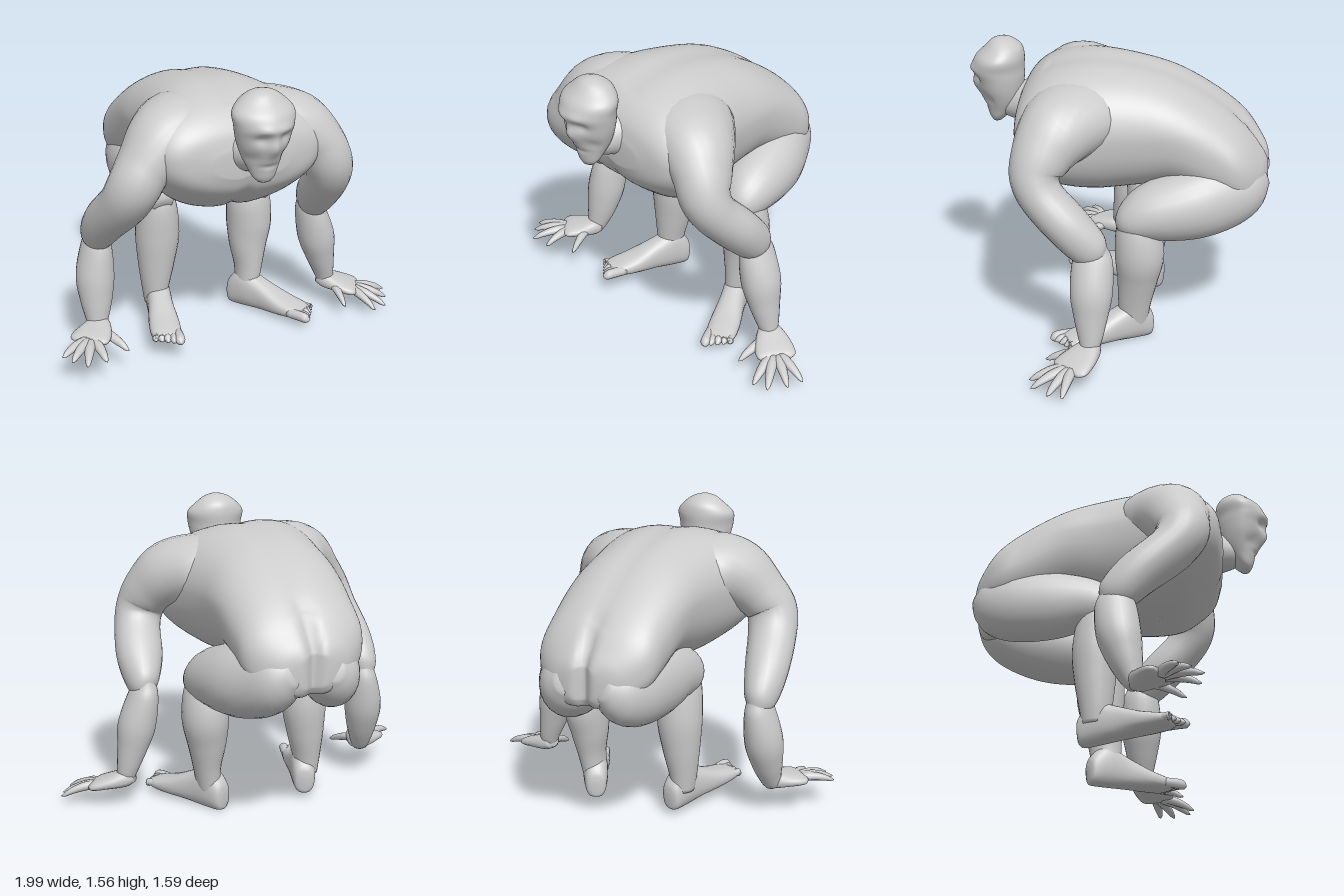
import * as THREE from 'three';

const material = new THREE.MeshStandardMaterial({ color: 0xcccccc, side: THREE.DoubleSide });
const X = new THREE.Vector3(1, 0, 0);
const Y = new THREE.Vector3(0, 1, 0);
const Z = new THREE.Vector3(0, 0, 1);
const bump = (d, w) => Math.exp(-(d * d) / (w * w));

// Smooth closed skin over stations [x, y, z, radius along ref, radius across].
function loft(name, stations, { ref = X, axis = null, power = 2, rings = 28, sides = 24, deform = null } = {}) {
  const path = new THREE.CatmullRomCurve3(stations.map(s => new THREE.Vector3(s[0], s[1], s[2])), false, 'catmullrom');
  const size = new THREE.CatmullRomCurve3(stations.map(s => new THREE.Vector3(s[3], s[4], 0)), false, 'catmullrom');
  const round = c => Math.sign(c) * Math.abs(c) ** (2 / power);
  const pos = [], index = [];
  const push = p => {
    if (deform) deform(p);
    pos.push(p.x, p.y, p.z);
  };
  for (let i = 0; i <= rings; i++) {
    const t = i / rings, c = path.getPoint(t), r = size.getPoint(t);
    const T = axis ? axis.clone() : path.getTangent(t);
    const U = ref.clone().addScaledVector(T, -ref.dot(T)).normalize();
    const V = T.clone().cross(U);
    for (let j = 0; j < sides; j++) {
      const a = j / sides * Math.PI * 2;
      push(c.clone().addScaledVector(U, Math.max(r.x, 0.002) * round(Math.cos(a)))
        .addScaledVector(V, Math.max(r.y, 0.002) * round(Math.sin(a))));
      if (i < rings) {
        const p = i * sides + j, q = i * sides + (j + 1) % sides;
        index.push(p, q, p + sides, q, q + sides, p + sides);
      }
    }
  }
  const first = pos.length / 3, end = rings * sides;
  push(path.getPoint(0));
  push(path.getPoint(1));
  for (let j = 0; j < sides; j++) {
    const k = (j + 1) % sides;
    index.push(first, k, j, first + 1, end + j, end + k);
  }
  const g = new THREE.BufferGeometry();
  g.setAttribute('position', new THREE.Float32BufferAttribute(pos, 3));
  g.setIndex(index);
  g.computeVertexNormals();
  const mesh = new THREE.Mesh(g, material);
  mesh.name = name;
  return mesh;
}

// Torso: vertical sections [z, halfWidth, top, bottom] from seat to chest.
function torso() {
  const sections = [
    [-0.787, 0.015, 0.97, 0.82], [-0.78, 0.11, 0.99, 0.80], [-0.745, 0.21, 1.05, 0.765], [-0.65, 0.31, 1.17, 0.76],
    [-0.5, 0.335, 1.29, 0.79], [-0.3, 0.35, 1.40, 0.85], [-0.1, 0.37, 1.46, 0.82], [0.12, 0.42, 1.485, 0.80],
    [0.3, 0.48, 1.46, 0.84], [0.42, 0.46, 1.41, 0.92], [0.5, 0.38, 1.33, 1.0], [0.535, 0.2, 1.23, 1.08]];
  const stations = sections.map(([z, w, top, bottom]) => [-0.06, (top + bottom) / 2, z, w, (top - bottom) / 2]);
  return loft('torso', stations, {
    axis: Z, power: 2.35, rings: 66, sides: 72,
    deform: p => {
      // flanks taper towards the belly
      const low = Math.min(1, Math.max(0, (1.2 - p.y) / 0.35)) * Math.min(1, Math.max(0, (p.z + 0.6) * 3));
      const dx = (p.x + 0.06) * (1 - 0.1 * low);
      p.x = dx - 0.06;
      // spine groove, seat cleft, breastbone crease, then a slight roll to one side
      if (p.y > 1.15 && p.z < 0.4) p.y -= 0.012 * bump(dx, 0.06);
      if (p.z < -0.55) p.z += 0.04 * bump(dx, 0.035) * Math.min(1, (-0.55 - p.z) * 6);
      if (p.z > 0.2 && p.y < 1.2) p.y += 0.02 * bump(dx, 0.04);
      p.y -= 0.06 * dx;
    },
  });
}

// Head: horizontal sections [y, halfWidth, back, front] from chin to crown.
function head() {
  const sections = [
    [1.113, 0.035, 0.635, 0.685], [1.14, 0.06, 0.605, 0.7], [1.19, 0.083, 0.56, 0.715], [1.24, 0.106, 0.53, 0.735],
    [1.3, 0.13, 0.517, 0.758], [1.36, 0.145, 0.51, 0.775], [1.41, 0.154, 0.51, 0.787], [1.47, 0.16, 0.508, 0.765],
    [1.52, 0.118, 0.52, 0.715], [1.555, 0.07, 0.56, 0.68], [1.57, 0.025, 0.6, 0.645]];
  const stations = sections.map(([y, w, back, front]) => [-0.06, y, (back + front) / 2, w, (front - back) / 2]);
  return loft('head', stations, {
    axis: Y, power: 1.85, rings: 56, sides: 56,
    deform: p => {
      if (p.z < 0.66) return;
      const dx = p.x + 0.06, ax = Math.abs(dx);
      p.z += 0.022 * bump(dx, 0.03) * bump(p.y - 1.31, 0.045);                // nose
      p.z -= 0.02 * bump(ax - 0.06, 0.035) * bump(p.y - 1.36, 0.028);         // eye hollows
      p.z += 0.01 * bump(ax - 0.05, 0.05) * bump(p.y - 1.41, 0.02);           // brow
      p.z -= 0.008 * bump(dx, 0.05) * bump(p.y - 1.205, 0.012);               // mouth
      p.z -= 0.012 * bump(ax - 0.085, 0.03) * bump(p.y - 1.25, 0.035);        // cheeks
    },
  });
}

// Hand: flat palm from the wrist, fingers fanned to the tips; the last tip is the thumb.
function hand(name, wrist, palm, tips) {
  const g = new THREE.Group();
  g.name = name;
  const w = new THREE.Vector3(...wrist), p = new THREE.Vector3(...palm);
  const across = p.clone().sub(w).cross(Y).normalize();
  const at = (t, a, b) => [...w.clone().lerp(p, t).toArray(), a, b];
  g.add(loft('palm', [at(-0.3, 0.035, 0.03), at(0, 0.065, 0.045), at(0.5, 0.095, 0.036), at(1, 0.105, 0.026), at(1.2, 0.075, 0.012)],
    { ref: across, power: 2.4, rings: 14, sides: 20 }));
  tips.forEach((tip, i) => {
    const thumb = i === tips.length - 1;
    const end = new THREE.Vector3(...tip);
    const root = w.clone().lerp(p, thumb ? 0.2 : 0.8).lerp(end, thumb ? 0.12 : 0.2);
    const s = (t, r, lift = 0) => {
      const v = root.clone().lerp(end, t);
      return [v.x, v.y + lift, v.z, r, r * 0.85];
    };
    g.add(loft(thumb ? 'thumb' : 'finger',
      [s(0, 0.028), s(0.35, 0.027, 0.01), s(0.7, 0.02, 0.008), s(0.9, 0.012), s(1, 0.002)],
      { ref: across, rings: 12, sides: 10 }));
  });
  return g;
}

// Foot: built pointing along +z, big toe on the inner side.
function foot(name, inner, position, turn, tilt) {
  const g = new THREE.Group();
  g.name = name;
  const flat = p => { p.y = Math.max(p.y, 0.008); };
  g.add(loft('sole', [[0, 0.06, -0.105, 0.025, 0.04], [0, 0.08, -0.085, 0.055, 0.08], [0, 0.11, 0, 0.068, 0.115],
    [0, 0.085, 0.11, 0.07, 0.09], [0, 0.055, 0.24, 0.082, 0.056], [0, 0.04, 0.34, 0.08, 0.036], [0, 0.036, 0.39, 0.065, 0.02]],
    { axis: Z, power: 2.4, deform: flat }));
  for (let i = 0; i < 5; i++) {
    const x = inner * (0.062 - i * 0.031), r = i ? 0.018 : 0.025, end = 0.455 - i * 0.014;
    g.add(loft('toe', [[x * 0.95, 0.04, 0.32, r, r], [x, 0.038, 0.39, r, r * 1.1], [x, 0.032, end - 0.02, r, r], [x, 0.026, end, 0.004, 0.004]],
      { axis: Z, rings: 10, sides: 12, deform: flat }));
  }
  g.position.set(...position);
  g.rotation.set(tilt, turn, 0, 'YXZ');
  return g;
}

export function createModel() {
  const model = new THREE.Group();
  model.name = 'crouchingFigure';
  model.add(torso(), head());
  model.add(loft('neck', [[-0.06, 1.21, 0.4, 0.2, 0.16], [-0.06, 1.22, 0.49, 0.13, 0.12], [-0.06, 1.225, 0.57, 0.09, 0.095],
    [-0.06, 1.25, 0.64, 0.065, 0.08]]));

  // Arms: shoulder and upper arm run in one sweep out of the back
  model.add(
    loft('leftUpperArm', [[0.08, 1.24, 0.15, 0.22, 0.17], [0.2, 1.24, 0.22, 0.24, 0.18], [0.33, 1.2, 0.29, 0.2, 0.18],
      [0.42, 1.12, 0.345, 0.16, 0.145], [0.47, 1.02, 0.375, 0.13, 0.13], [0.5, 0.92, 0.335, 0.115, 0.125],
      [0.53, 0.785, 0.205, 0.115, 0.125], [0.55, 0.67, 0.09, 0.1, 0.085], [0.55, 0.62, 0.04, 0.05, 0.045]], { ref: Z, rings: 40 }),
    loft('leftForearm', [[0.55, 0.71, 0.06, 0.04, 0.05], [0.55, 0.62, 0.075, 0.075, 0.1], [0.59, 0.45, 0.08, 0.1, 0.11],
      [0.62, 0.32, 0.08, 0.08, 0.088], [0.65, 0.2, 0.08, 0.055, 0.06], [0.66, 0.14, 0.09, 0.045, 0.04]]),
    hand('leftHand', [0.66, 0.155, 0.08], [0.79, 0.115, 0.165],
      [[0.99, 0.06, 0.18], [0.96, 0.05, 0.26], [0.9, 0.05, 0.35], [0.82, 0.05, 0.37], [0.66, 0.08, 0.31]]),
    loft('rightUpperArm', [[-0.2, 1.27, 0.15, 0.22, 0.17], [-0.32, 1.27, 0.22, 0.24, 0.19], [-0.43, 1.235, 0.27, 0.2, 0.18],
      [-0.54, 1.14, 0.305, 0.155, 0.14], [-0.6, 1.05, 0.315, 0.135, 0.135], [-0.63, 0.94, 0.25, 0.12, 0.13],
      [-0.665, 0.8, 0.1, 0.115, 0.115], [-0.68, 0.68, -0.01, 0.1, 0.085], [-0.68, 0.62, -0.06, 0.05, 0.045]], { ref: Z, rings: 40 }),
    loft('rightForearm', [[-0.68, 0.71, -0.04, 0.04, 0.05], [-0.68, 0.62, -0.02, 0.075, 0.1], [-0.7, 0.45, 0, 0.1, 0.11],
      [-0.71, 0.32, 0.03, 0.085, 0.088], [-0.72, 0.22, 0.06, 0.06, 0.06], [-0.73, 0.17, 0.08, 0.045, 0.04]]),
    hand('rightHand', [-0.72, 0.195, 0.09], [-0.82, 0.19, 0.2],
      [[-1, 0.17, 0.28], [-0.97, 0.165, 0.34], [-0.91, 0.155, 0.4], [-0.8, 0.15, 0.39], [-0.65, 0.14, 0.32]]));

  // Legs: each thigh starts as the buttock
  model.add(
    loft('leftThigh', [[0.04, 0.9, -0.765, 0.05, 0.06], [0.075, 0.87, -0.69, 0.125, 0.145], [0.125, 0.825, -0.57, 0.16, 0.19],
      [0.185, 0.785, -0.4, 0.185, 0.195], [0.24, 0.75, -0.21, 0.165, 0.16], [0.27, 0.71, -0.1, 0.125, 0.115], [0.27, 0.67, -0.03, 0.06, 0.05]]),
    loft('leftShin', [[0.27, 0.78, -0.14, 0.06, 0.05], [0.27, 0.68, -0.125, 0.115, 0.11], [0.28, 0.52, -0.135, 0.125, 0.13],
      [0.27, 0.38, -0.125, 0.105, 0.11], [0.265, 0.24, -0.11, 0.075, 0.09], [0.25, 0.1, -0.1, 0.06, 0.075]]),
    foot('leftFoot', -1, [0.25, 0.005, -0.1], 0.52, -0.06),
    loft('rightThigh', [[-0.16, 0.9, -0.765, 0.05, 0.06], [-0.19, 0.87, -0.69, 0.125, 0.145], [-0.235, 0.83, -0.57, 0.145, 0.185],
      [-0.265, 0.82, -0.38, 0.14, 0.185], [-0.285, 0.815, -0.2, 0.12, 0.15], [-0.29, 0.78, -0.09, 0.105, 0.115], [-0.29, 0.74, -0.03, 0.05, 0.05]]),
    loft('rightShin', [[-0.29, 0.84, -0.13, 0.05, 0.05], [-0.285, 0.74, -0.12, 0.1, 0.105], [-0.28, 0.55, -0.135, 0.12, 0.12],
      [-0.29, 0.38, -0.135, 0.1, 0.105], [-0.3, 0.24, -0.13, 0.075, 0.085], [-0.3, 0.14, -0.13, 0.06, 0.07]]),
    foot('rightFoot', 1, [-0.29, 0.045, -0.11], -0.3, -0.11));
  return model;
}
